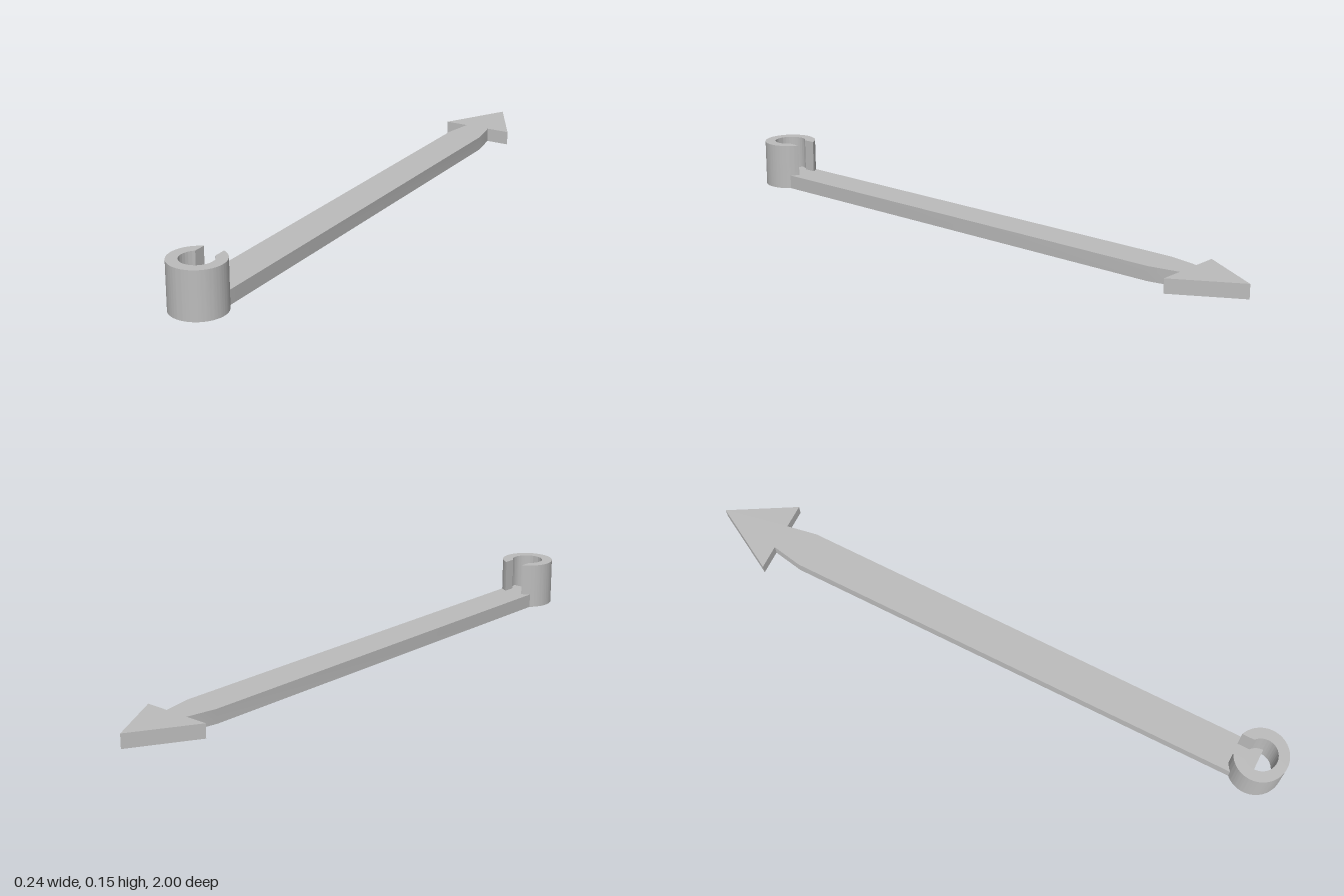
import * as THREE from 'three';
import { toCreasedNormals } from 'three/addons/utils/BufferGeometryUtils.js';

const RING_Z = 0.913;
const OUTER_R = 0.087;
const INNER_R = 0.052;
const GAP_HALF = 0.034;

// Extrudes a plan shape (x, -z) upward from y = 0
function raise(shape, height) {
  const geometry = new THREE.ExtrudeGeometry(shape, {
    depth: height, bevelEnabled: false, curveSegments: 64,
  });
  geometry.rotateX(-Math.PI / 2);
  return toCreasedNormals(geometry, Math.PI / 6);
}

export function createModel() {
  const group = new THREE.Group();
  const grey = new THREE.MeshStandardMaterial({ color: 0xbcbcbc });
  grey.name = 'grey';

  const add = (name, shape, height) => {
    const mesh = new THREE.Mesh(raise(shape, height), grey);
    mesh.name = name;
    group.add(mesh);
  };

  // Flat shaft, tapered neck and arrowhead as one mirrored outline
  const half = [[0.06, -RING_Z], [0.06, 0.69], [0.042, 0.79], [0.12, 0.79]];
  const outline = [...half, [0, 1], ...half.map(([x, y]) => [-x, y]).reverse()];
  add('arrowShaft', new THREE.Shape(outline.map(([x, y]) => new THREE.Vector2(x, y))), 0.046);

  // Open ring with a parallel-sided slot facing the shaft
  const up = Math.PI / 2;
  const a = Math.asin(GAP_HALF / OUTER_R);
  const b = Math.asin(GAP_HALF / INNER_R);
  const ring = new THREE.Shape();
  ring.absarc(0, -RING_Z, OUTER_R, up - a, up + a, true);
  ring.absarc(0, -RING_Z, INNER_R, up + b, up - b, false);
  ring.closePath();
  add('clipRing', ring, 0.152);

  return group;
}
